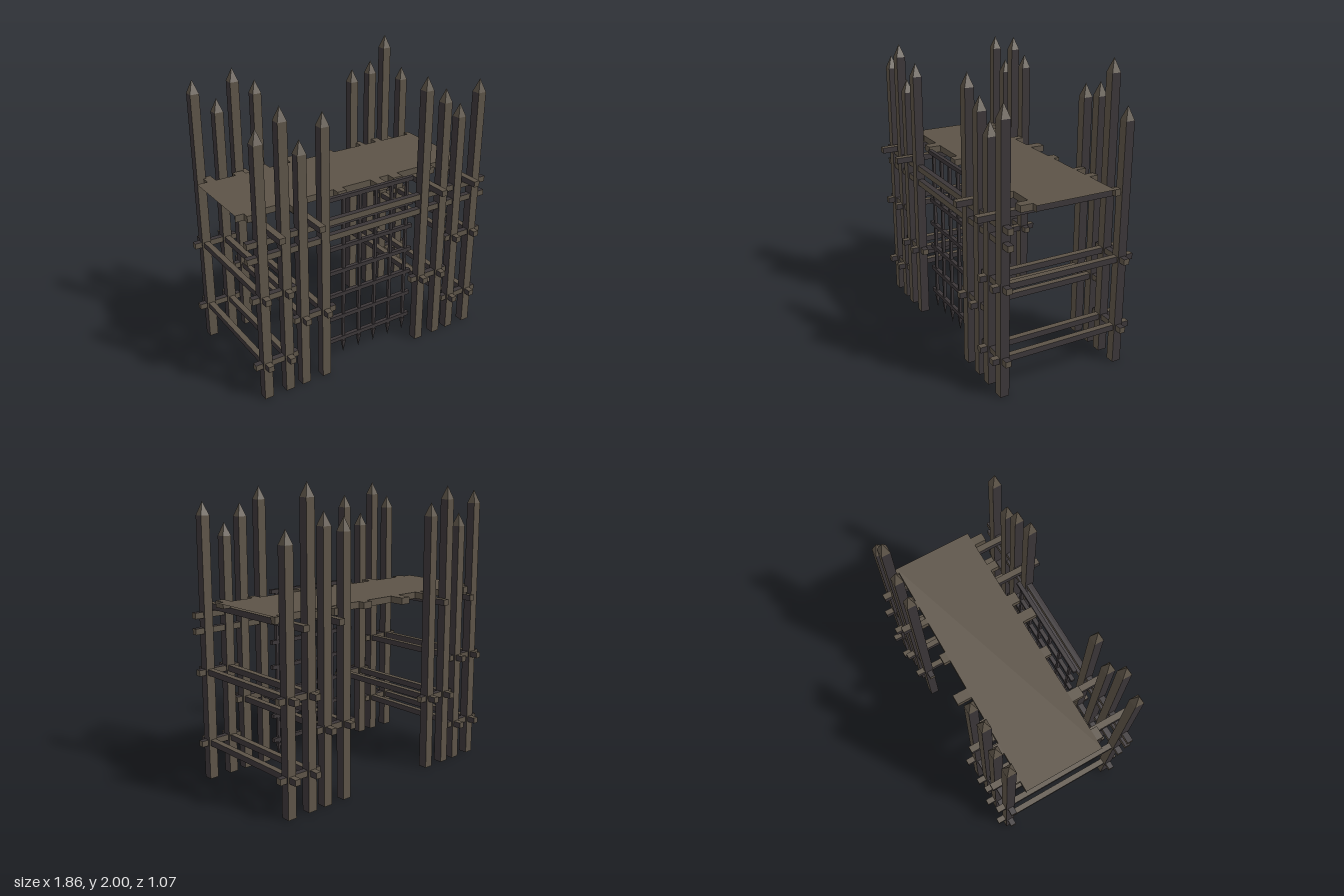
import * as THREE from 'three';

const wood = new THREE.MeshStandardMaterial({ color: 0x5c5347 });
wood.name = 'weathered wood';
const dark = new THREE.MeshStandardMaterial({ color: 0x3b3638 });
dark.name = 'dark timber';

// Face order: +x, -x, +y, -y, +z, -z
const darkSides = [dark, dark, wood, wood, wood, wood];
const darkTop = [wood, wood, dark, dark, wood, wood];

function box(parent, name, mat, x0, x1, y0, y1, z0, z1) {
  const m = new THREE.Mesh(new THREE.BoxGeometry(x1 - x0, y1 - y0, z1 - z0), mat);
  m.name = name;
  m.position.set((x0 + x1) / 2, (y0 + y1) / 2, (z0 + z1) / 2);
  parent.add(m);
  return m;
}

// Square pyramid with flat faces, base width w
function pyramid(w, h) {
  const g = new THREE.ConeGeometry(w / Math.SQRT2, h, 4).rotateY(Math.PI / 4).toNonIndexed();
  g.computeVertexNormals();
  return g;
}

function flat(parent, name, w, d, x, y, z, rx, ry) {
  const m = new THREE.Mesh(new THREE.PlaneGeometry(w, d), wood);
  m.name = name;
  m.position.set(x, y, z);
  m.rotation.set(rx, ry, 0);
  parent.add(m);
}

export function createModel() {
  const model = new THREE.Group();
  model.name = 'woodenGate';
  const frontZ = 0.4, backZ = -0.447;

  // Pointed posts in two rows
  const postX = [-0.83, -0.672, -0.55, -0.39, 0.39, 0.547, 0.672, 0.832];
  const rows = [
    ['frontPost', frontZ, [1.84, 1.945, 1.72, 1.86, 1.945, 1.84, 1.72, 1.86]],
    ['backPost', backZ, [1.91, 1.76, 1.945, 1.84, 1.79, 1.83, 2.0, 1.74]],
  ];
  const w = 0.062, tipH = 0.09, r = w / 2;
  for (const [name, z, heights] of rows) {
    postX.forEach((x, i) => {
      const post = new THREE.Group();
      post.name = name;
      const top = heights[i] - tipH;
      box(post, 'postShaft', darkSides, x - r, x + r, 0, top, z - r, z + r);
      const tip = new THREE.Mesh(pyramid(w, tipH), wood);
      tip.name = 'postTip';
      tip.position.set(x, top + tipH / 2, z);
      post.add(tip);
      model.add(post);
    });
  }

  const t = 0.02;
  // Long rails across the front
  for (const y of [1.13, 1.025])
    box(model, 'frontRail', darkTop, -0.93, 0.925, y - t, y + t, frontZ - t, frontZ + t);

  // Short rails joining pairs of posts, front and back
  for (const z of [frontZ, backZ]) for (const s of [-1, 1]) {
    for (const [y, a, b] of [[0.745, 0.6, 0.91], [0.255, 0.6, 0.91], [0.503, 0.31, 0.622]]) {
      const [x0, x1] = s > 0 ? [a, b] : [-b, -a];
      box(model, 'shortRail', darkTop, x0, x1, y - t, y + t, z - t, z + t);
    }
  }

  // Cross beams running from front posts to back posts
  postX.forEach((x) => {
    const levels = Math.abs(x) > 0.6 ? [0.745, 0.255] : [0.503];
    for (const y of levels)
      box(model, 'crossBeam', darkSides, x - t, x + t, y - t, y + t, -0.535, 0.478);
  });

  // Joists under the platform
  for (const x of [-0.75, -0.475, 0.472, 0.75])
    box(model, 'joist', darkSides, x - 0.022, x + 0.022, 1.15, 1.19, -0.525, 0.533);

  // Platform deck, open at its two ends
  const x0 = -0.89, x1 = 0.875, z0 = -0.355, z1 = 0.2, y0 = 1.191, y1 = 1.235;
  const cx = (x0 + x1) / 2, cz = (z0 + z1) / 2, cy = (y0 + y1) / 2;
  const deck = new THREE.Group();
  deck.name = 'platform';
  flat(deck, 'deckTop', x1 - x0, z1 - z0, cx, y1, cz, -Math.PI / 2, 0);
  flat(deck, 'deckUnderside', x1 - x0, z1 - z0, cx, y0, cz, Math.PI / 2, 0);
  flat(deck, 'deckFrontEdge', x1 - x0, y1 - y0, cx, cy, z1, 0, 0);
  flat(deck, 'deckBackEdge', x1 - x0, y1 - y0, cx, cy, z0, 0, Math.PI);

  // Uneven plank ends: left x, right x, outer z
  const ends = [
    [-0.83, -0.75, 0.245], [-0.535, -0.46, 0.285], [-0.185, -0.115, 0.25], [0.105, 0.175, 0.305],
    [0.25, 0.325, 0.262], [0.545, 0.6, 0.262], [0.77, 0.83, 0.285],
    [-0.815, -0.755, -0.445], [-0.61, -0.535, -0.405], [-0.4, -0.35, -0.42], [-0.185, -0.115, -0.455],
    [0.105, 0.175, -0.4], [0.41, 0.45, -0.43], [0.545, 0.6, -0.42], [0.84, 0.875, -0.395],
  ];
  for (const [a, b, z] of ends)
    box(deck, 'plankEnd', wood, a, b, y0, y1, Math.min(z, z1), Math.max(z, z0));
  // Trim each plank end so it starts at the deck edge
  deck.children.filter((m) => m.name === 'plankEnd').forEach((m, i) => {
    const z = ends[i][2], edge = z > 0 ? z1 : z0;
    m.geometry = new THREE.BoxGeometry(ends[i][1] - ends[i][0], y1 - y0, Math.abs(z - edge));
    m.position.z = (z + edge) / 2;
  });
  model.add(deck);

  // Portcullis grid with spiked bars
  const grid = new THREE.Group();
  grid.name = 'portcullis';
  const gz = 0.317;
  for (let i = 0; i < 7; i++) {
    const y = 0.166 + i * 0.178;
    box(grid, 'gridBar', dark, -0.37, 0.37, y - 0.014, y + 0.014, gz - 0.014, gz + 0.014);
  }
  for (let i = 0; i < 6; i++) {
    const x = -0.313 + i * 0.127;
    box(grid, 'gridUpright', dark, x - 0.01, x + 0.01, 0.14, 1.235, gz - 0.01, gz + 0.01);
    const spike = new THREE.Mesh(pyramid(0.028, 0.1), dark);
    spike.name = 'gridSpike';
    spike.rotation.x = Math.PI;
    spike.position.set(x, 0.09, gz);
    grid.add(spike);
  }
  model.add(grid);
  return model;
}
